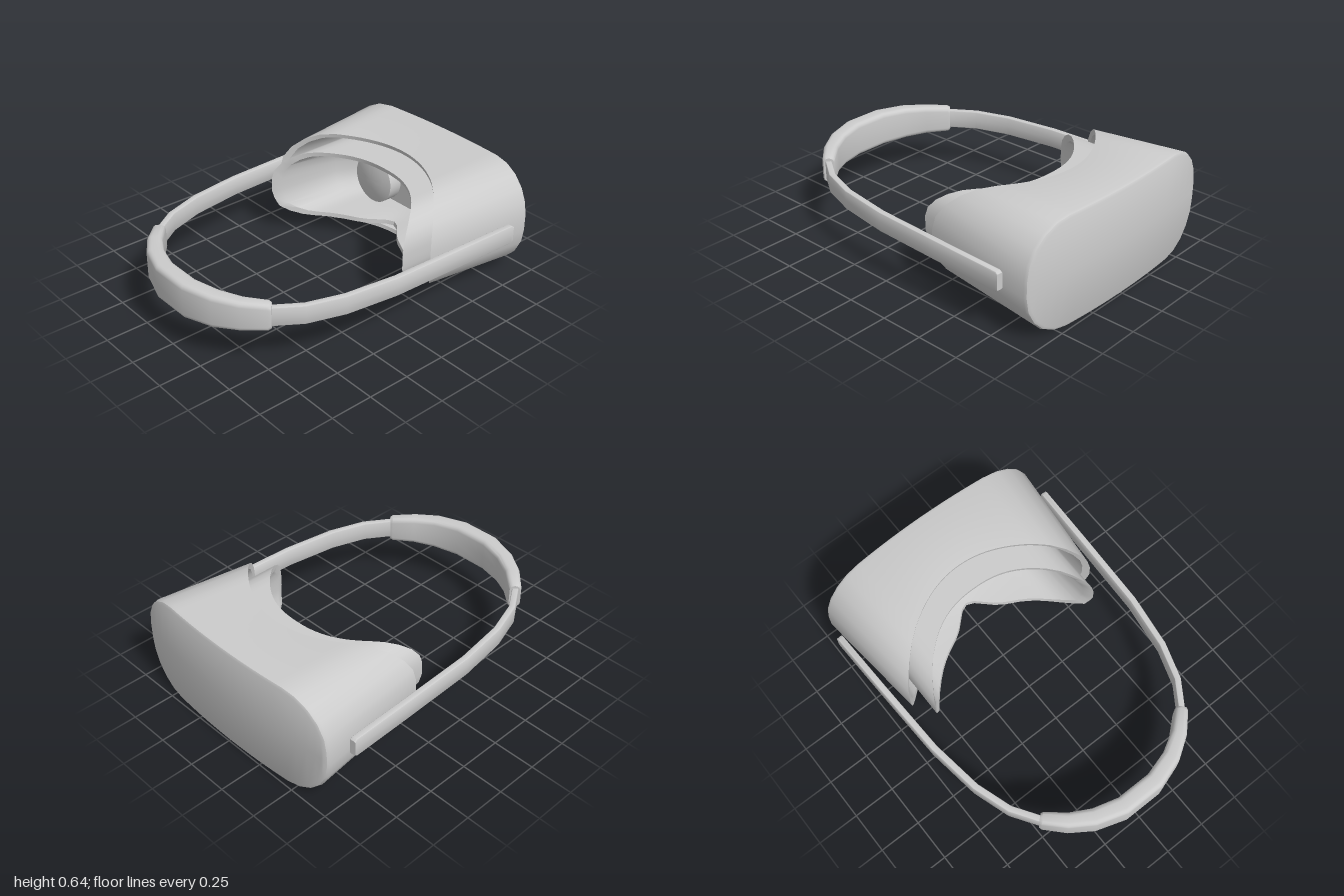
import * as THREE from 'three';
import { toCreasedNormals } from 'three/addons/utils/BufferGeometryUtils.js';

const material = new THREE.MeshStandardMaterial({ color: 0xcccccc });

// Rounded rectangle, counter-clockwise; flat horizontal edges get `flat` divisions
function roundedRect(hw, hh, r, corner = 5, flat = 18) {
  const pts = [];
  const centres = [[1, 1], [-1, 1], [-1, -1], [1, -1]].map(([sx, sy]) => [sx * (hw - r), sy * (hh - r)]);
  centres.forEach(([cx, cy], k) => {
    for (let i = 0; i <= corner; i++) {
      const a = (k + i / corner) * Math.PI / 2;
      pts.push([cx + r * Math.cos(a), cy + r * Math.sin(a)]);
    }
    const [nx, ny] = centres[(k + 1) % 4];
    const a = (k + 1) * Math.PI / 2;
    const n = k % 2 ? 2 : flat;
    for (let i = 1; i < n; i++) {
      const t = i / n;
      pts.push([cx + (nx - cx) * t + r * Math.cos(a), cy + (ny - cy) * t + r * Math.sin(a)]);
    }
  });
  return pts;
}

// Skin a list of closed rings of Vector3
function loft(rings, crease = 0.6) {
  const n = rings[0].length, index = [];
  for (let i = 0; i < rings.length - 1; i++) {
    for (let j = 0; j < n; j++) {
      const k = (j + 1) % n;
      const a = i * n + j, b = i * n + k, c = a + n, d = b + n;
      index.push(a, b, d, a, d, c);
    }
  }
  const geo = new THREE.BufferGeometry().setFromPoints(rings.flat());
  geo.setIndex(index);
  return toCreasedNormals(geo, crease);
}

function addMesh(parent, name, geo) {
  const mesh = new THREE.Mesh(geo, material);
  mesh.name = name;
  parent.add(mesh);
  return mesh;
}

// Ring facing z, whose depth depends on x and y; squash flattens it into a closing cap
const zRing = (hw, hh, r, cy, depth, squash = 1) => roundedRect(hw, hh, r)
  .map(([x, y]) => new THREE.Vector3(x, cy + y * squash, depth(x, y)));

// Sweep a rounded section along stations [x, z, half thickness, half height]
function sweep(stations, radius, cy) {
  const rings = stations.map(([x, z, ht, hh], i) => {
    const p = stations[Math.max(i - 1, 0)], q = stations[Math.min(i + 1, stations.length - 1)];
    const t = new THREE.Vector2(q[0] - p[0], q[1] - p[1]).normalize();
    return roundedRect(ht, hh, radius, 4, 2)
      .map(([u, v]) => new THREE.Vector3(x + t.y * u, cy + v, z - t.x * u));
  });
  const cap = ring => ring.map(p => new THREE.Vector3(p.x, cy, p.z));
  return loft([cap(rings[0]), ...rings, cap(rings[rings.length - 1])]);
}

// Complete a half path by mirroring it across x = 0
const mirrored = half => [...half, ...half.slice().reverse().map(([x, ...rest]) => [-x, ...rest])];

export function createModel() {
  const model = new THREE.Group();
  model.name = 'headset';

  // Visor housing: bowed front, bevel, tapering walls, curved rear rim, hollow inside
  const bow = z => x => z + 0.05 * (x / 0.7) ** 2;
  const rim = x => -0.635 + 0.385 * (x / 0.645) ** 2;
  const flat = z => () => z;
  addMesh(model, 'visorHousing', loft([
    zRing(0.695, 0.302, 0.26, 0.32, bow(-1), 0),
    zRing(0.695, 0.302, 0.26, 0.32, bow(-1)),
    zRing(0.71, 0.315, 0.272, 0.32, bow(-0.993)),
    zRing(0.715, 0.32, 0.275, 0.32, bow(-0.978)),
    zRing(0.645, 0.288, 0.24, 0.32, rim),
    zRing(0.618, 0.265, 0.22, 0.32, x => rim(x) - 0.005),
    zRing(0.6, 0.245, 0.2, 0.32, flat(-0.8)),
    zRing(0.6, 0.245, 0.2, 0.32, flat(-0.8), 0),
  ]));

  // Face cushion: hollow cup with a nose notch in its lower edge
  const face = (x, y) => {
    const base = -0.5 + 0.38 * (Math.abs(x) / 0.565) ** 2.4;
    if (y > -0.1) return base;
    return base + 0.02 - 0.12 * Math.exp(-((x / 0.11) ** 2));
  };
  addMesh(model, 'faceCushion', loft([
    zRing(0.565, 0.212, 0.17, 0.325, flat(-0.8)),
    zRing(0.565, 0.212, 0.17, 0.325, face),
    zRing(0.532, 0.187, 0.15, 0.325, (x, y) => face(x, y) - 0.004),
    zRing(0.5, 0.172, 0.14, 0.325, (x, y) => -0.64 + 0.25 * (face(x, y) + 0.5)),
    zRing(0.42, 0.145, 0.12, 0.325, flat(-0.73)),
    zRing(0.42, 0.145, 0.12, 0.325, flat(-0.73), 0),
  ], 0.75));

  // Pair of slightly domed lenses
  const profile = [[0.15, 0], [0.15, 0.12], [0.1, 0.135], [0.05, 0.142], [0, 0.145]]
    .map(p => new THREE.Vector2(...p));
  const lensGeo = toCreasedNormals(new THREE.LatheGeometry(profile, 32).rotateX(Math.PI / 2), 0.6);
  for (const [name, side] of [['leftLens', 1], ['rightLens', -1]]) {
    addMesh(model, name, lensGeo).position.set(side * 0.235, 0.32, -0.765);
  }

  // Flat head strap with softened ends
  addMesh(model, 'headStrap', sweep(mirrored([
    [0.737, -0.795, 0.018, 0.046], [0.736, -0.78, 0.018, 0.056], [0.724, -0.4, 0.018, 0.056],
    [0.706, 0.06, 0.018, 0.056], [0.662, 0.37, 0.018, 0.056], [0.593, 0.58, 0.018, 0.056],
    [0.49, 0.735, 0.018, 0.056], [0.39, 0.83, 0.018, 0.056], [0.27, 0.9, 0.018, 0.056],
    [0.11, 0.945, 0.018, 0.056],
  ]), 0.006, 0.325));

  // Padded rear cradle, thickest at the middle
  addMesh(model, 'rearPad', sweep(mirrored([
    [0.499, 0.72, 0.03, 0.073], [0.489, 0.731, 0.037, 0.081], [0.39, 0.825, 0.043, 0.088],
    [0.27, 0.898, 0.048, 0.097], [0.11, 0.947, 0.051, 0.103],
  ]), 0.028, 0.325));

  return model;
}
